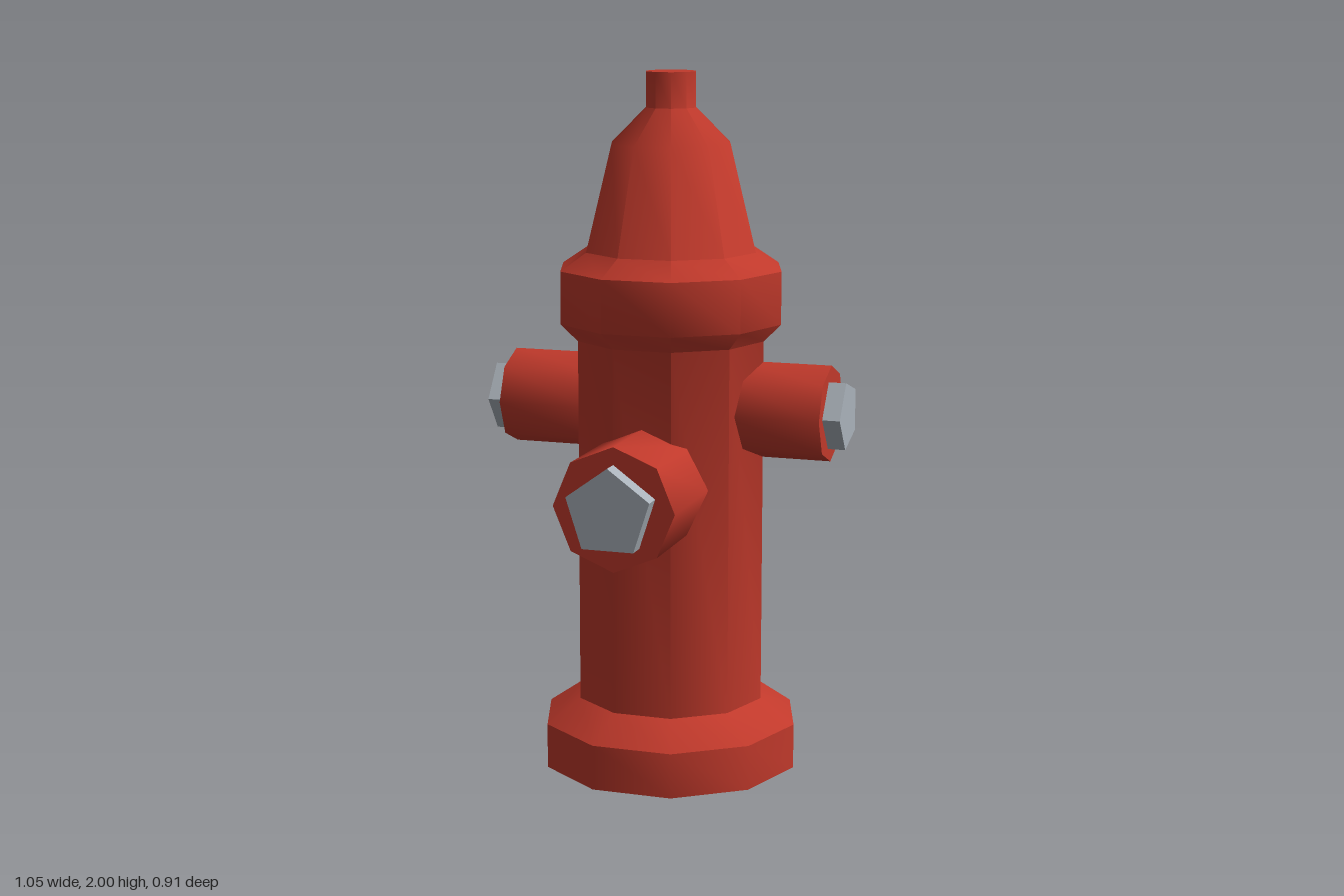
import * as THREE from 'three';
import { toCreasedNormals } from 'three/addons/utils/BufferGeometryUtils.js';

const CREASE = THREE.MathUtils.degToRad(50);
const AXIS_Z = -0.1; // vertical axis of the barrel

// Prism along +z between two distances, with one corner pointing up
function prism(name, radius, sides, from, to, material) {
  const geometry = new THREE.CylinderGeometry(radius, radius, to - from, sides, 1, false, Math.PI);
  geometry.rotateX(Math.PI / 2).translate(0, 0, (from + to) / 2);
  const mesh = new THREE.Mesh(toCreasedNormals(geometry, CREASE), material);
  mesh.name = name;
  return mesh;
}

export function createModel() {
  const red = new THREE.MeshStandardMaterial({ color: 0xc0392b });
  red.name = 'red paint';
  const steel = new THREE.MeshStandardMaterial({ color: 0xaab2ba });
  steel.name = 'grey steel';

  const model = new THREE.Group();
  model.name = 'fireHydrant';

  // Ten-sided barrel with base flange, collar, bonnet and top stem
  const profile = [
    [0, 0], [0.375, 0], [0.375, 0.13], [0.275, 0.2], [0.275, 1.25], [0.325, 1.3],
    [0.325, 1.45], [0.25, 1.5], [0.175, 1.8], [0.073, 1.9], [0.073, 2], [0, 2],
  ].map(([r, y]) => new THREE.Vector2(r, y));
  const barrel = new THREE.Mesh(
    toCreasedNormals(new THREE.LatheGeometry(profile, 10, Math.PI / 2), CREASE), red);
  barrel.name = 'barrel';
  barrel.position.z = AXIS_Z;
  model.add(barrel);

  // Large front outlet with its five-sided nut
  const front = new THREE.Group();
  front.name = 'frontOutlet';
  front.add(prism('frontNozzle', 0.174, 8, 0.2, 0.5, red));
  front.add(prism('frontNut', 0.125, 5, 0.49, 0.55, steel));
  front.position.set(0, 0.855, AXIS_Z);
  model.add(front);

  // Smaller outlets on both sides, nut corner pointing to the back
  for (const [side, sign] of [['left', 1], ['right', -1]]) {
    const outlet = new THREE.Group();
    outlet.name = side + 'Outlet';
    const nozzle = prism(side + 'Nozzle', 0.137, 8, 0.2, 0.473, red);
    const nut = prism(side + 'Nut', 0.1, 5, 0.46, 0.523, steel);
    nut.rotation.z = sign * Math.PI / 2;
    outlet.add(nozzle, nut);
    outlet.rotation.y = sign * Math.PI / 2;
    outlet.position.set(0, 1.055, AXIS_Z);
    model.add(outlet);
  }
  return model;
}
